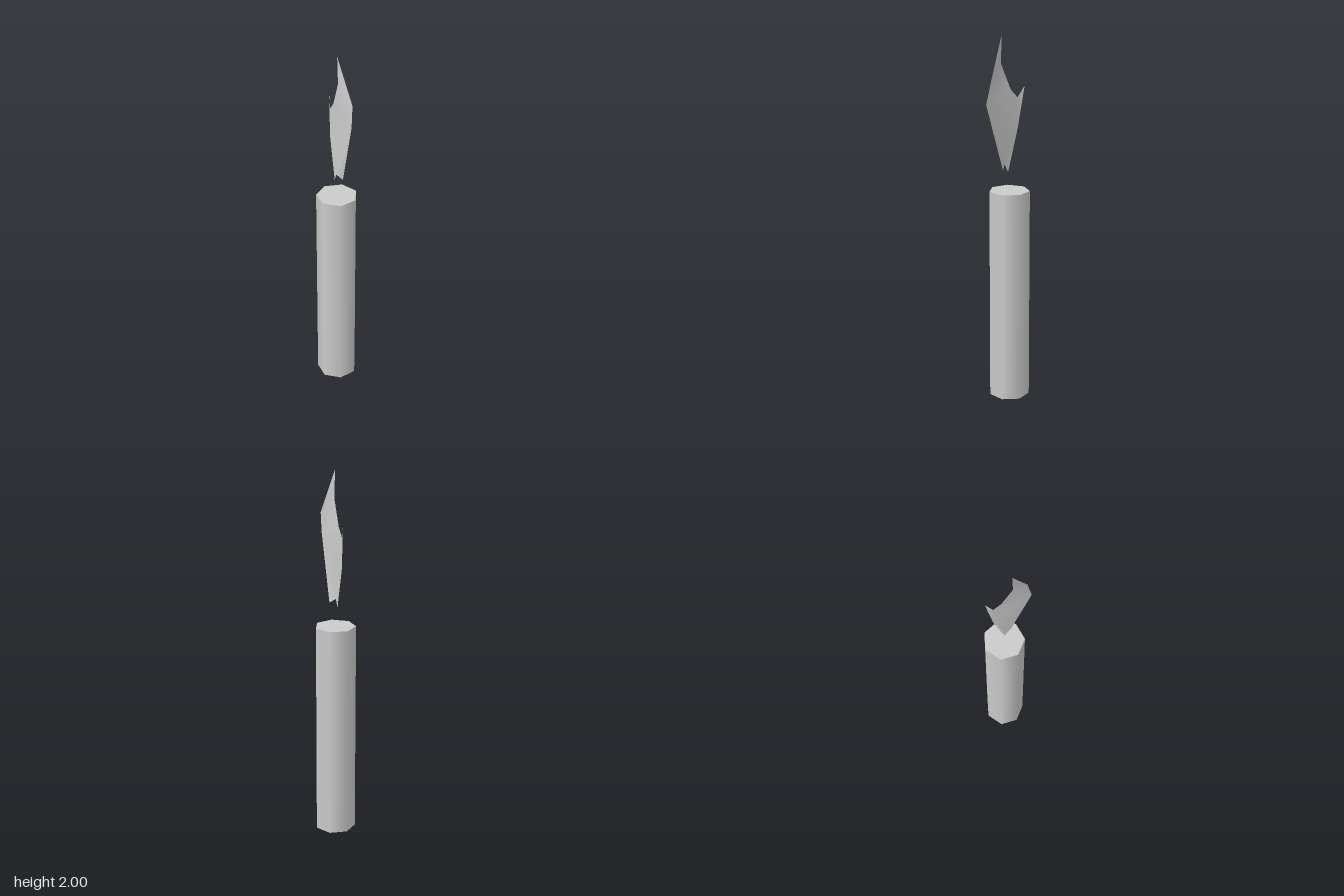
import * as THREE from 'three';

export function createModel() {
  const group = new THREE.Group();

  // Seven-sided wax stick with one corner pointing to +x
  const height = 1.17;
  const candle = new THREE.Mesh(
    new THREE.CylinderGeometry(0.1105, 0.1105, height, 7, 1, false, Math.PI / 2),
    new THREE.MeshStandardMaterial({ color: 0xcccccc })
  );
  candle.name = 'candleStick';
  candle.position.set(-0.0055, height / 2, -0.021);
  group.add(candle);

  // Thin, slightly bent flame sheet: outline from the top tip, round by the back
  const outline = [
    [-0.02, 2.0, 0.017],    // 0 top tip
    [-0.018, 1.85, 0.022],  // 1
    [-0.018, 1.71, -0.037], // 2
    [-0.018, 1.665, -0.078], // 3 notch
    [-0.007, 1.725, -0.115], // 4 side tip
    [-0.018, 1.5, -0.08],   // 5
    [-0.018, 1.267, -0.021], // 6 lower tip
    [-0.018, 1.312, 0.0],   // 7 bottom notch
    [0.008, 1.287, 0.026],  // 8 lower tip
    [0.01, 1.65, 0.127],    // 9 widest point
    [0.023, 1.76, 0.108],   // 10
  ];
  const flameGeometry = new THREE.BufferGeometry();
  flameGeometry.setAttribute('position', new THREE.Float32BufferAttribute(outline.flat(), 3));
  flameGeometry.setIndex([
    0, 10, 1, 10, 9, 1, 1, 9, 2, 2, 9, 3, 3, 5, 4,
    3, 9, 5, 5, 9, 7, 7, 9, 8, 5, 7, 6,
  ]);
  flameGeometry.computeVertexNormals();
  const flame = new THREE.Mesh(
    flameGeometry,
    new THREE.MeshStandardMaterial({ color: 0xcccccc, side: THREE.DoubleSide })
  );
  flame.name = 'flame';
  group.add(flame);

  return group;
}
